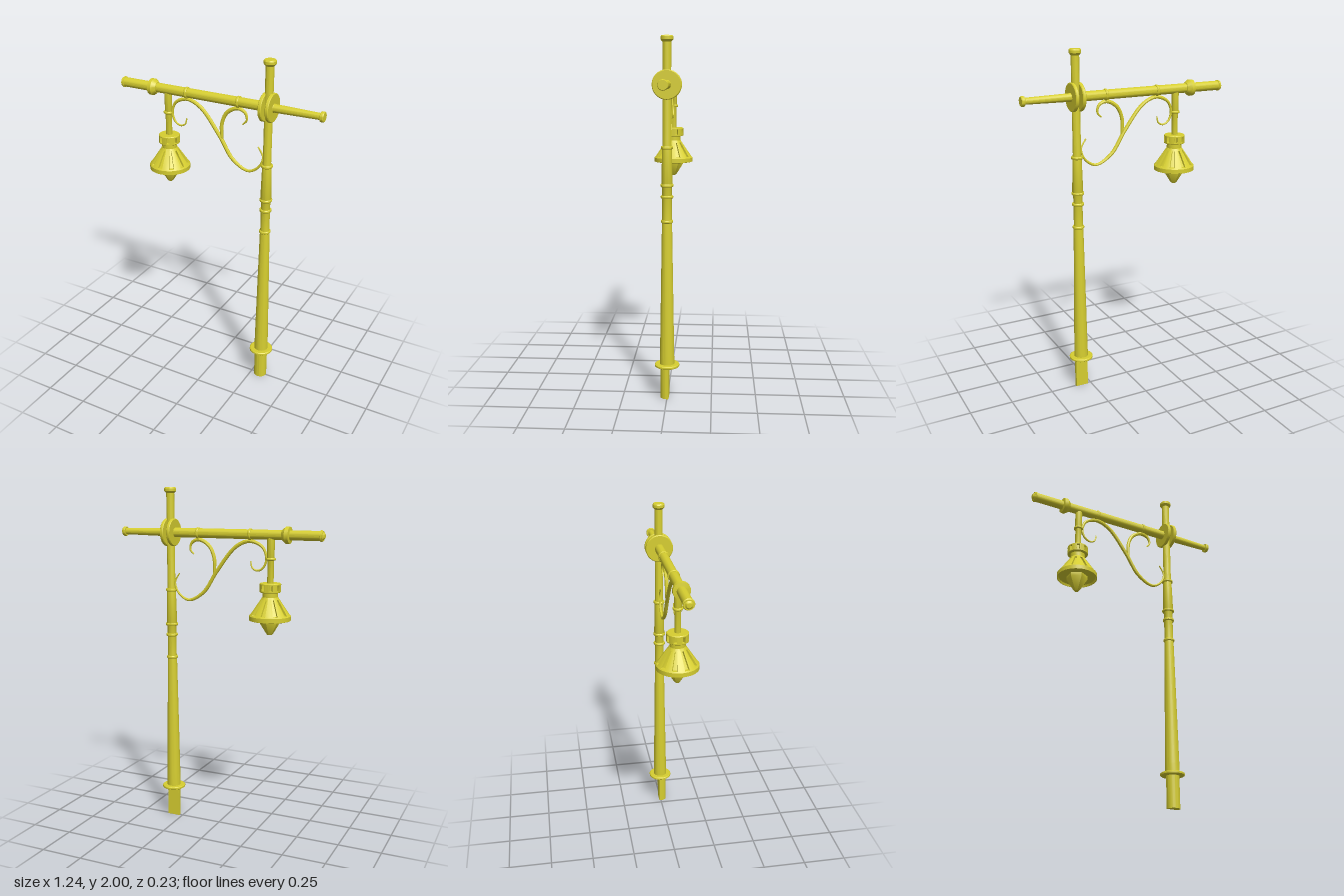
import * as THREE from 'three';
import { toCreasedNormals } from 'three/addons/utils/BufferGeometryUtils.js';

const POST_X = 0.307, LAMP_X = -0.313, ARM_Y = 1.745;
const material = new THREE.MeshStandardMaterial({ color: 0xd6ce30 });

function add(parent, name, geometry, x = 0, y = 0, z = 0) {
  const mesh = new THREE.Mesh(toCreasedNormals(geometry, 0.5), material);
  mesh.name = name;
  mesh.position.set(x, y, z);
  parent.add(mesh);
  return mesh;
}

// Profile is a list of [radius, height], bottom to top
const lathe = (profile, sides = 24) =>
  new THREE.LatheGeometry(profile.map(([r, y]) => new THREE.Vector2(r, y)), sides);

// Small moulded ring around a post
const ring = (r, h) => lathe([[r - 0.01, -h], [r - 0.003, -h], [r, -h / 2], [r, h / 2], [r - 0.003, h], [r - 0.01, h]]);

// Lathe whose marked rows are pushed inwards at evenly spaced slots
function slottedLathe(profile, slots, gap, depth, isSlotRow) {
  const a = 0.5 - gap / 2, b = 0.5 + gap / 2;
  const steps = [0, a / 2, a, a + 0.01, 0.5, b - 0.01, b, (1 + b) / 2];
  const geometry = lathe(profile, slots * 8);
  const pos = geometry.attributes.position, rows = profile.length;
  for (let i = 0; i < pos.count; i++) {
    const column = Math.floor(i / rows), row = i % rows, k = column % 8;
    const angle = (Math.floor(column / 8) + steps[k]) / slots * Math.PI * 2;
    const r = profile[row][0] - (k >= 3 && k <= 5 && isSlotRow(row) ? depth : 0);
    pos.setXYZ(i, Math.sin(angle) * r, profile[row][1], Math.cos(angle) * r);
  }
  return geometry;
}

// Round bar along a curve, thinner towards both ends
function scroll(points, startThickness) {
  const curve = new THREE.CatmullRomCurve3(points.map(([x, y]) => new THREE.Vector3(x, y, 0)));
  const rings = 90, sides = 8;
  const geometry = new THREE.TubeGeometry(curve, rings, 0.011, sides);
  const pos = geometry.attributes.position, v = new THREE.Vector3();
  for (let i = 0; i < pos.count; i++) {
    const t = Math.floor(i / (sides + 1)) / rings;
    const c = curve.getPointAt(t);
    const s = Math.min(1, startThickness + t * 2, 0.35 + (1 - t) * 2);
    v.fromBufferAttribute(pos, i).sub(c).multiplyScalar(s).add(c);
    pos.setXYZ(i, v.x, v.y, v.z);
  }
  return geometry;
}

function buildPost() {
  const post = new THREE.Group();
  post.name = 'post';
  post.position.x = POST_X;

  // Foot: round in front, cut flat at the back
  const foot = new THREE.Shape();
  foot.absarc(0, 0, 0.038, -0.27, Math.PI + 0.27, false);
  foot.closePath();
  const footGeometry = new THREE.ExtrudeGeometry(foot, { depth: 0.19, bevelEnabled: false, curveSegments: 20 });
  add(post, 'foot', footGeometry.rotateX(Math.PI / 2), 0, 0.19);

  add(post, 'baseFlange', lathe([[0, 0.183], [0.064, 0.183], [0.069, 0.187], [0.069, 0.196], [0.064, 0.2], [0, 0.2]]));
  add(post, 'shaft', lathe([[0, 0.195], [0.041, 0.195], [0.04, 0.25], [0.028, 0.99], [0.026, 1.02], [0.026, 1.2],
    [0.031, 1.215], [0.026, 1.4], [0.023, 1.43], [0.023, 1.98], [0, 1.98]]));
  for (const [y, r] of [[1.01, 0.033], [1.145, 0.034], [1.208, 0.036], [1.412, 0.033]])
    add(post, 'postRing', ring(r, 0.008), 0, y);
  add(post, 'topCap', lathe([[0.022, 1.965], [0.03, 1.974], [0.034, 1.979], [0.034, 1.993], [0.029, 2], [0, 2]]));
  return post;
}

function buildArm() {
  // Modelled upright, then laid down so that height runs along +x
  const arm = new THREE.Group();
  arm.name = 'arm';
  arm.position.y = ARM_Y;
  arm.rotation.z = -Math.PI / 2;
  add(arm, 'armBar', lathe([[0, -0.61], [0.027, -0.61], [0.027, 0.335], [0.023, 0.34], [0.018, 0.605], [0, 0.605]]));
  add(arm, 'armTip', lathe([[0, -0.62], [0.013, -0.619], [0.024, -0.607], [0.031, -0.602], [0.031, -0.596], [0.026, -0.594]]));
  add(arm, 'armCollar', lathe([[0.026, -0.426], [0.046, -0.423], [0.047, -0.402], [0.03, -0.38], [0.026, -0.38]]));
  for (const x of [-0.19, 0.13]) add(arm, 'armBand', ring(0.032, 0.008), 0, x);
  add(arm, 'armEndCap', lathe([[0, 0.6], [0.026, 0.6], [0.028, 0.603], [0.028, 0.615], [0.025, 0.62], [0, 0.62]]));
  // Pair of discs clamping the post
  for (const x of [0.287, 0.328])
    add(arm, 'clampDisc', lathe([[0, -0.01], [0.075, -0.01], [0.079, -0.006], [0.079, 0.006], [0.075, 0.01], [0, 0.01]], 32), 0, x);
  return arm;
}

function buildLamp() {
  const lamp = new THREE.Group();
  lamp.name = 'lamp';
  lamp.position.x = LAMP_X;
  add(lamp, 'lampStem', lathe([[0.018, 1.43], [0.018, 1.61], [0.021, 1.62], [0.021, 1.74]], 16));
  add(lamp, 'stemRing', ring(0.028, 0.007), 0, 1.613);

  // Crown drum with small windows
  const drum = [[0.03, 1.43], [0.056, 1.43], [0.06, 1.433], [0.06, 1.439], [0.06, 1.44],
    [0.06, 1.471], [0.06, 1.472], [0.06, 1.477], [0.056, 1.481], [0.015, 1.481]];
  add(lamp, 'lampCrown', slottedLathe(drum, 8, 0.38, 0.016, r => r === 4 || r === 5));
  add(lamp, 'crownNeck', lathe([[0.043, 1.395], [0.043, 1.432]]));

  // Conical shade with slots that widen downwards, hollow underneath
  const shade = [[0, 1.285], [0.108, 1.285], [0.112, 1.272], [0.117, 1.274], [0.117, 1.298], [0.111, 1.304],
    [0.11, 1.305], [0.053, 1.39], [0.052, 1.391], [0.044, 1.404], [0, 1.404]];
  const shadeMesh = add(lamp, 'lampShade', slottedLathe(shade, 10, 0.4, 0.014, r => r === 6 || r === 7));
  shadeMesh.rotation.y = Math.PI / 10;

  // Faceted pointed bulb
  add(lamp, 'lampBulb', lathe([[0, 1.188], [0.014, 1.19], [0.022, 1.2], [0.062, 1.265], [0.062, 1.29]], 6));
  return lamp;
}

function buildBracket() {
  const bracket = new THREE.Group();
  bracket.name = 'scrollBracket';
  add(bracket, 'mainScroll', scroll([[-0.194, 1.597], [-0.204, 1.56], [-0.236, 1.546], [-0.27, 1.565], [-0.287, 1.613],
    [-0.265, 1.676], [-0.188, 1.708], [-0.103, 1.674], [0.013, 1.533], [0.098, 1.408], [0.194, 1.358],
    [0.26, 1.397], [0.281, 1.459], [0.252, 1.512]], 0.35));
  add(bracket, 'smallScroll', scroll([[0.03, 1.505], [0.03, 1.607], [0.061, 1.674], [0.125, 1.708],
    [0.17, 1.69], [0.18, 1.65], [0.156, 1.623]], 0.6));
  return bracket;
}

export function createModel() {
  const model = new THREE.Group();
  model.name = 'streetLamp';
  model.add(buildPost(), buildArm(), buildLamp(), buildBracket());
  return model;
}
